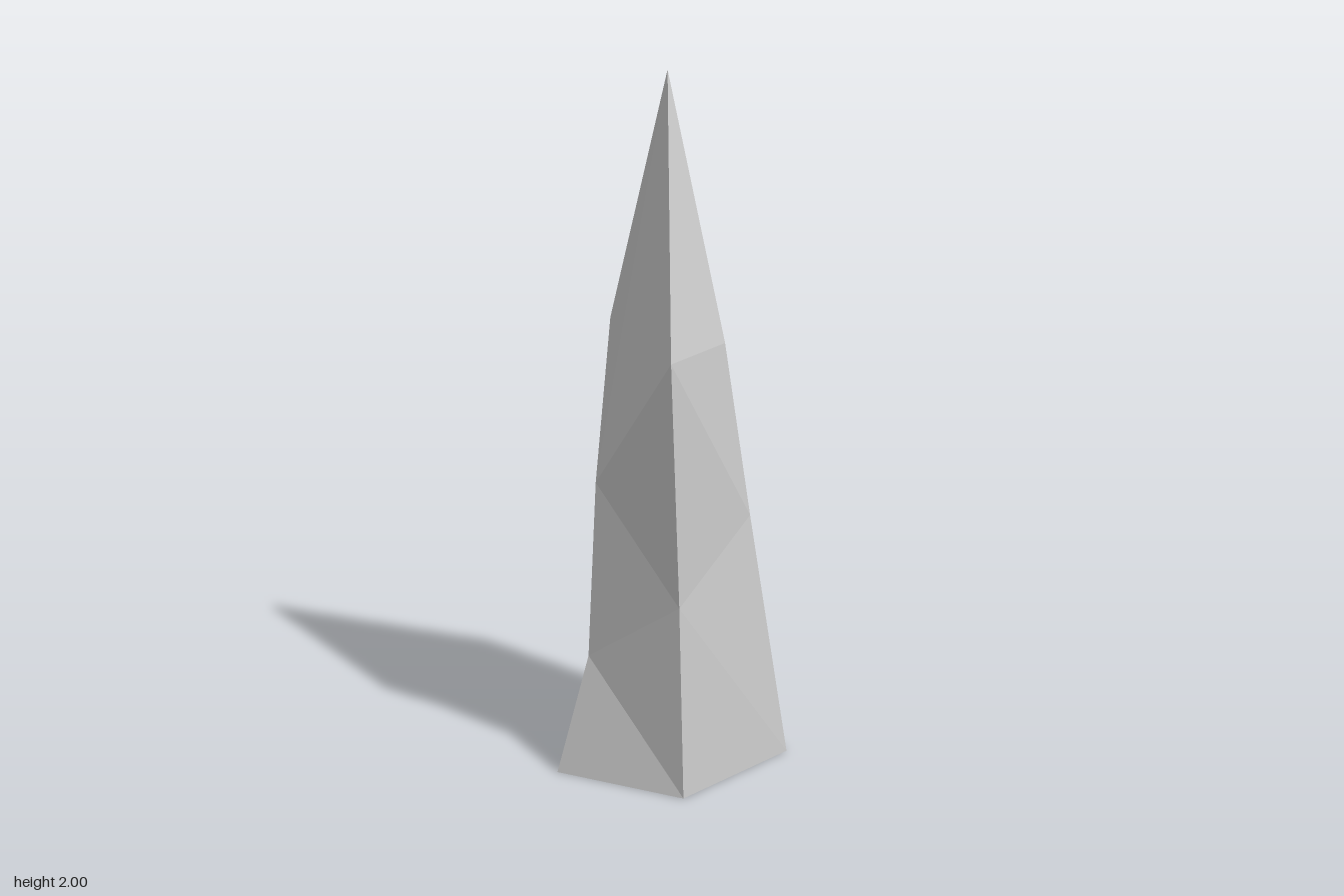
import * as THREE from 'three';

// Each ridge of the shard, clockwise from above: base, lower bend, upper bend
const RIDGES = [
  [[0.025, 0, -0.33], [0.02, 0.49, -0.218], [0.018, 1.3, -0.187]],
  [[0.32, 0, -0.07], [0.205, 0.36, -0.055], [0.228, 0.99, -0.035]],
  [[0.24, 0, 0.33], [0.165, 0.77, 0.225], [0.087, 1.29, 0.187]],
  [[-0.155, 0, 0.275], [-0.125, 0.58, 0.225], [-0.15, 1.29, 0.213]],
  [[-0.32, 0, -0.08], [-0.215, 0.36, -0.05], [-0.19, 0.9, -0.035]],
];
const TIP = [0.028, 2, 0.025];

function shardGeometry() {
  const ridges = RIDGES.map(r => r.map(p => new THREE.Vector3(...p)));
  const tip = new THREE.Vector3(...TIP);
  const points = [];
  const tri = (...corners) => points.push(...corners);

  ridges.forEach((right, i) => {
    const left = ridges[(i + 1) % ridges.length];
    // Side facets, each quad split along its shorter diagonal
    for (let k = 0; k < 2; k++) {
      const l0 = left[k], r0 = right[k], l1 = left[k + 1], r1 = right[k + 1];
      if (l0.distanceTo(r1) < r0.distanceTo(l1)) {
        tri(l0, r0, r1);
        tri(l0, r1, l1);
      } else {
        tri(l0, r0, l1);
        tri(r0, r1, l1);
      }
    }
    // Pointed top
    tri(left[2], right[2], tip);
    // Flat underside
    if (i > 0 && i < ridges.length - 1) tri(ridges[0][0], right[0], left[0]);
  });

  const geometry = new THREE.BufferGeometry().setFromPoints(points);
  geometry.computeVertexNormals();
  return geometry;
}

export function createModel() {
  const group = new THREE.Group();
  group.name = 'crystalShard';
  const shard = new THREE.Mesh(
    shardGeometry(),
    new THREE.MeshStandardMaterial({ color: 0xcccccc, flatShading: true })
  );
  shard.name = 'shard';
  group.add(shard);
  return group;
}
